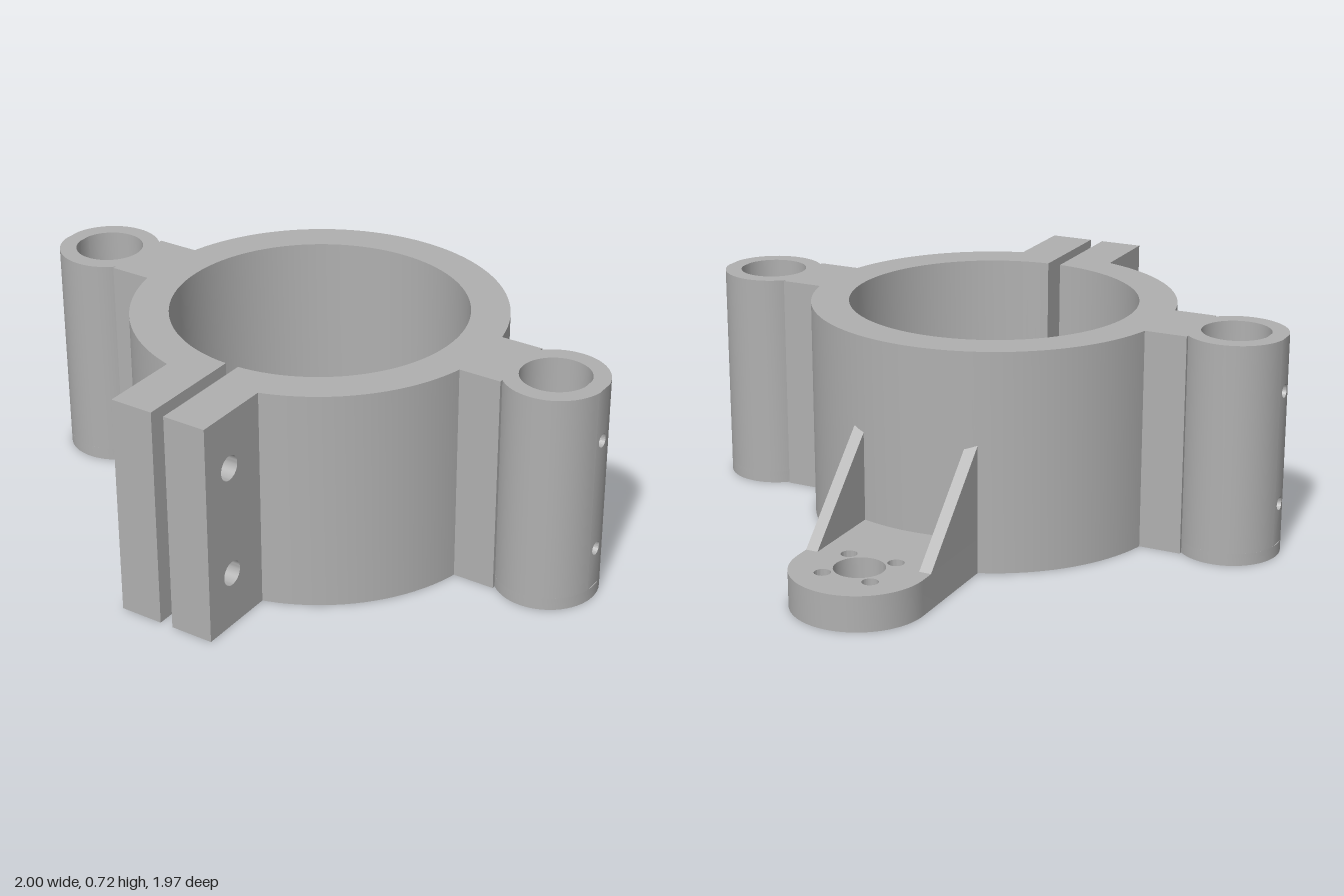
import * as THREE from 'three';
import { toCreasedNormals } from 'three/addons/utils/BufferGeometryUtils.js';

const H = 0.72;                       // overall height
const R_OUT = 0.595, R_IN = 0.472;    // clamp ring radii
const AXIS_Z = 0.148;                 // ring axis position
const GAP = 0.022;                    // half width of the clamp slot

const circle = (x, y, r) => new THREE.Path().absarc(x, y, r, 0, Math.PI * 2, true);

function hexagon(x, y, r) {
  const pts = [];
  for (let i = 0; i < 6; i++) {
    const a = i * Math.PI / 3;
    pts.push(new THREE.Vector2(x + r * Math.cos(a), y + r * Math.sin(a)));
  }
  return new THREE.Path(pts);
}

const polygon = (pts) => new THREE.Shape(pts.map(([x, y]) => new THREE.Vector2(x, y)));

// Plan shape (x, -z) raised upwards from y = 0
function raise(shape, height, segments) {
  const g = new THREE.ExtrudeGeometry(shape, { depth: height, bevelEnabled: false, curveSegments: segments });
  return toCreasedNormals(g.rotateX(-Math.PI / 2), 0.5);
}

// Side shape (z, y) given thickness from x0 to x1
function slab(shape, x0, x1) {
  const g = new THREE.ExtrudeGeometry(shape, { depth: x1 - x0, bevelEnabled: false, curveSegments: 16 });
  return toCreasedNormals(g.rotateY(-Math.PI / 2).translate(x1, 0, 0), 0.5);
}

// Hollow cylinder, optionally covering only part of the turn
function sleeve(rIn, rOut, y0, y1, start = 0, sweep = Math.PI * 2) {
  const profile = [[rOut, y0], [rOut, y1], [rIn, y1], [rIn, y0], [rOut, y0]];
  const g = new THREE.LatheGeometry(profile.map(([r, y]) => new THREE.Vector2(r, y)), 56, start, sweep);
  return toCreasedNormals(g, 0.5);
}

// Drilled wall strip, drawn flat and then bent around the tube axis to face +x
function drilledStrip(rIn, rOut, y0, y1, half, holeYs, holeR) {
  const w = half * rOut;
  const shape = polygon([[-w, y0], [w, y0], [w, y1], [-w, y1]]);
  holeYs.forEach((y) => shape.holes.push(circle(0, y, holeR)));
  const g = new THREE.ExtrudeGeometry(shape, { depth: rOut - rIn, bevelEnabled: false, curveSegments: 12 });
  const p = g.attributes.position, n = g.attributes.normal;
  for (let i = 0; i < p.count; i++) {
    const a = p.getX(i) / rOut, r = rIn + p.getZ(i);
    const c = Math.cos(a), s = Math.sin(a), nx = n.getX(i), nz = n.getZ(i);
    p.setXYZ(i, r * s, p.getY(i), r * c);
    n.setXYZ(i, nx * c + nz * s, n.getY(i), nz * c - nx * s);
  }
  return g.rotateY(Math.PI / 2);
}

export function createModel() {
  const grey = new THREE.MeshStandardMaterial({ color: 0xb0b0b0 });
  grey.name = 'grey plastic';

  const model = new THREE.Group();
  model.name = 'clampBracket';
  const body = new THREE.Group();
  body.name = 'clampBody';
  body.position.z = AXIS_Z;
  model.add(body);

  const add = (parent, name, geometry) => {
    const mesh = new THREE.Mesh(geometry, grey);
    mesh.name = name;
    parent.add(mesh);
    return mesh;
  };

  // Split clamp ring
  const aOut = Math.asin(GAP / R_OUT), aIn = Math.asin(GAP / R_IN);
  const ring = new THREE.Shape();
  ring.absarc(0, 0, R_OUT, -Math.PI / 2 + aOut, Math.PI * 1.5 - aOut, false);
  ring.absarc(0, 0, R_IN, Math.PI * 1.5 - aIn, -Math.PI / 2 + aIn, true);
  ring.closePath();
  add(body, 'clampRing', raise(ring, H, 56));

  // Clamping flanges with bolt holes; the right one has hexagonal nut pockets
  const flangeSide = (makeHole) => {
    const s = polygon([[0.553, 0], [0.837, 0], [0.837, H], [0.553, H]]);
    [0.18, 0.54].forEach((y) => s.holes.push(makeHole(0.722, y)));
    return s;
  };
  const bolt = (z, y) => circle(z, y, 0.04);
  const nut = (z, y) => hexagon(z, y, 0.075);
  add(body, 'leftFlange', slab(flangeSide(bolt), GAP, 0.165));
  add(body, 'rightFlange', slab(flangeSide(bolt), -0.105, -GAP));
  add(body, 'rightFlangeNutPockets', slab(flangeSide(nut), -0.165, -0.105));

  // Rod holders on both sides: web, bored tube, bottom lip and set screw holes
  const tubeR = 0.164, boreR = 0.11, lip = 0.04, half = 0.2;
  for (const side of ['left', 'right']) {
    const holder = new THREE.Group();
    holder.name = side + 'RodHolder';
    if (side === 'right') holder.rotation.y = Math.PI;
    body.add(holder);
    add(holder, 'web', new THREE.BoxGeometry(0.17, H, 0.255).translate(0.635, H / 2, 0));
    const tube = new THREE.Group();
    tube.name = 'rodTube';
    tube.position.x = 0.836;
    holder.add(tube);
    add(tube, 'bottomLip', sleeve(0.073, tubeR, 0, lip));
    add(tube, 'tubeWall', sleeve(boreR, tubeR, lip, H, Math.PI / 2 + half, Math.PI * 2 - 2 * half));
    add(tube, 'setScrewWall', drilledStrip(boreR, tubeR, lip, H, half, [0.175, 0.548], 0.022));
  }

  // Rear mounting plate with rounded end and hole pattern
  const halfW = 0.215, endV = 0.918, rootR = 0.59;
  const rootA = Math.acos(halfW / rootR);
  const plate = new THREE.Shape();
  plate.moveTo(halfW, rootR * Math.sin(rootA));
  plate.lineTo(halfW, endV);
  plate.absarc(0, endV, halfW, 0, Math.PI, false);
  plate.absarc(0, 0, rootR, Math.PI - rootA, rootA, true);
  plate.holes.push(circle(0, endV, 0.08));
  for (const sx of [-1, 1]) {
    for (const sv of [-1, 1]) plate.holes.push(circle(sx * 0.081, endV + sv * 0.081, 0.026));
  }
  add(body, 'mountPlate', raise(plate, 0.115, 24));

  // Triangular gussets between plate and ring
  const gusset = polygon([[-0.868, 0.114], [-0.53, 0.114], [-0.53, 0.42], [-0.555, 0.42]]);
  add(body, 'leftGusset', slab(gusset, 0.175, halfW));
  add(body, 'rightGusset', slab(gusset, -halfW, -0.175));

  return model;
}
